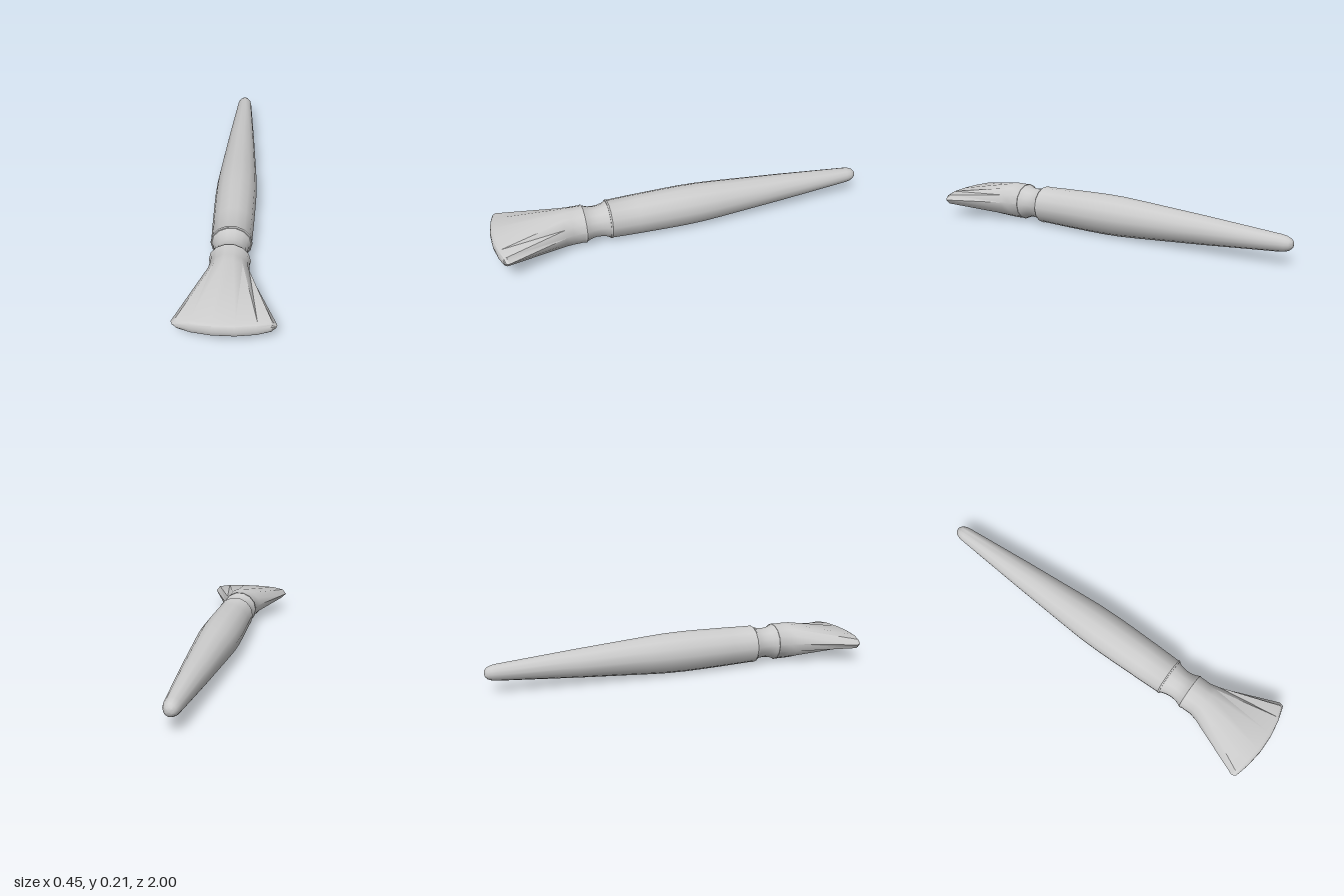
import * as THREE from 'three';
import { toCreasedNormals } from 'three/addons/utils/BufferGeometryUtils.js';

const SIDES = 14;
const AXIS_Y = 0.1035;
const material = new THREE.MeshStandardMaterial({ color: 0xcccccc });

function addPart(group, name, geometry) {
  const mesh = new THREE.Mesh(toCreasedNormals(geometry, 0.6), material);
  mesh.name = name;
  mesh.position.y = AXIS_Y;
  group.add(mesh);
}

// Turned part along z from [z, radius] pairs, with a flat facet on top
function turned(profile) {
  const points = profile.map(([z, r]) => new THREE.Vector2(r, z));
  return new THREE.LatheGeometry(points, SIDES, Math.PI / SIDES).rotateX(Math.PI / 2);
}

// Skin over rings of [x, y, z] points, running towards +z
function loft(rings) {
  const index = [];
  for (let k = 0; k < rings.length - 1; k++) {
    for (let i = 0; i < SIDES; i++) {
      const j = (i + 1) % SIDES;
      const a = k * SIDES + i, b = k * SIDES + j;
      index.push(a, b, b + SIDES, a, b + SIDES, a + SIDES);
    }
  }
  const geometry = new THREE.BufferGeometry();
  geometry.setAttribute('position', new THREE.Float32BufferAttribute(rings.flat(2), 3));
  geometry.setIndex(index);
  return geometry;
}

// Round ring of the head
function roundRing(z, rx, ry) {
  return Array.from({ length: SIDES }, (_, i) => {
    const a = (i / SIDES) * Math.PI * 2;
    return [rx * Math.cos(a), ry * Math.sin(a), z];
  });
}

// Wide, thin ring at the tip; its z bows forward in the middle
const TIP = [[0.225, 0], [0.203, 0.025], [0.142, 0.033], [0.05, 0.034]];
function tipRing(z, sx, sy) {
  return Array.from({ length: SIDES }, (_, i) => {
    const upper = i <= SIDES / 2 ? i : SIDES - i;
    const [x, y] = TIP[Math.min(upper, SIDES / 2 - upper)];
    const px = x * sx * (upper <= 3 ? 1 : -1);
    const py = y * sy * (i <= SIDES / 2 ? 1 : -1);
    return [px, py, z - 0.75 * px * px];
  });
}

export function createModel() {
  const group = new THREE.Group();
  group.name = 'brush';

  // Tapered handle with a rounded end
  addPart(group, 'handle', turned([
    [-1, 0], [-0.997, 0.016], [-0.985, 0.029], [-0.965, 0.037], [-0.94, 0.041],
    [-0.55, 0.072], [-0.18, 0.098], [-0.08, 0.104], [0.02, 0.106], [0.12, 0.105],
    [0.27, 0.102], [0.405, 0.098], [0.413, 0.101], [0.42, 0.098], [0.42, 0.08],
  ]));

  // Hollowed neck between handle and head
  addPart(group, 'neck', turned([
    [0.415, 0.096], [0.435, 0.087], [0.46, 0.081], [0.485, 0.079],
    [0.51, 0.082], [0.53, 0.089], [0.545, 0.097],
  ]));

  // Head fanning from the round collar to a flat, bowed tip
  addPart(group, 'head', loft([
    roundRing(0.54, 0.075, 0.075),
    roundRing(0.543, 0.098, 0.098),
    roundRing(0.553, 0.093, 0.096),
    roundRing(0.61, 0.093, 0.097),
    roundRing(0.65, 0.104, 0.095),
    tipRing(0.981, 1, 1),
    tipRing(0.993, 0.985, 0.8),
    tipRing(0.998, 0.97, 0.5),
    tipRing(1, 0.96, 0),
  ]));

  return group;
}
